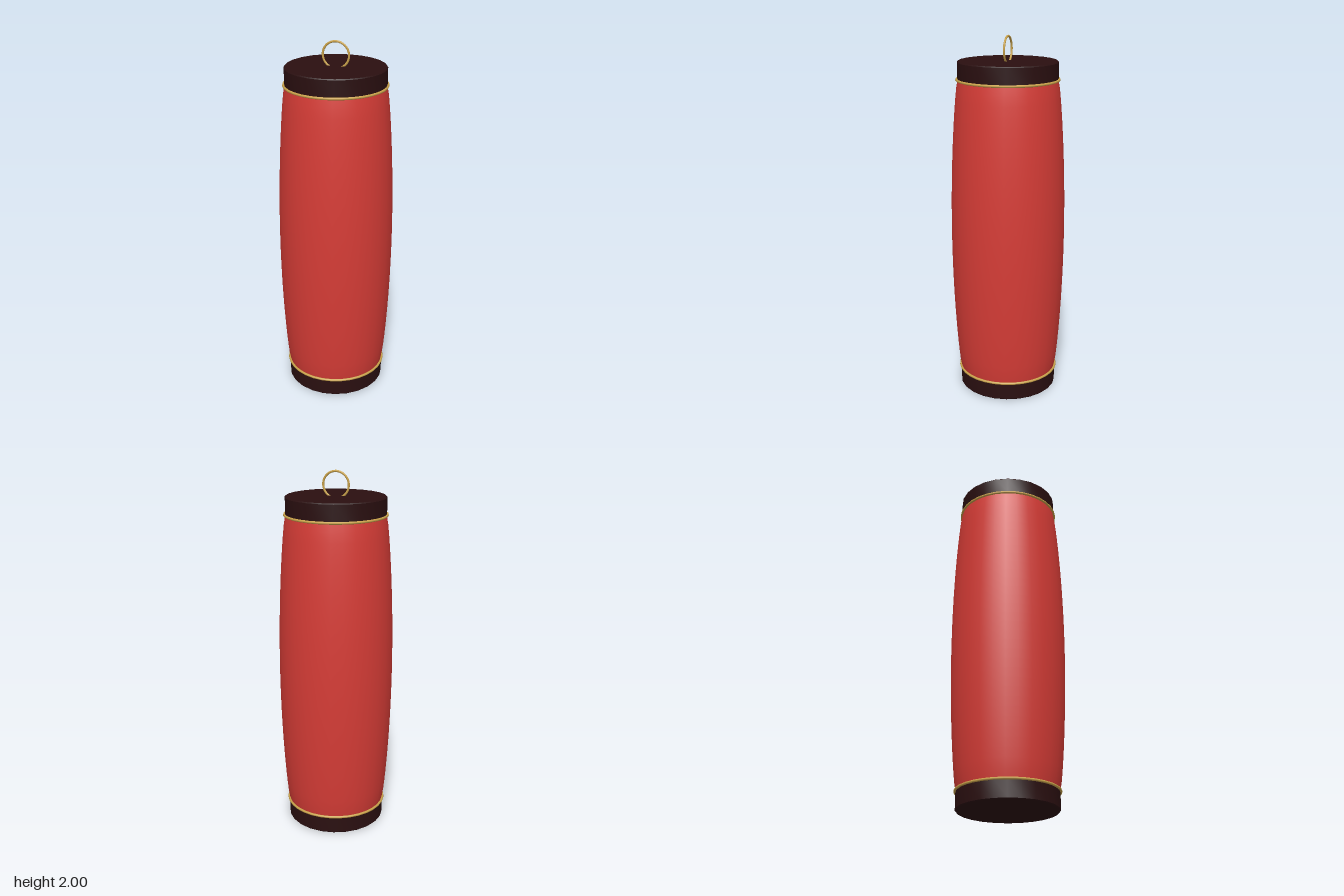
import * as THREE from 'three';
import { toCreasedNormals } from 'three/addons/utils/BufferGeometryUtils.js';

const CAP_H = 0.1, CAP_R = 0.272;
const BODY_BOTTOM = 0.1, BODY_TOP = 1.77;

function material(name, color) {
  const m = new THREE.MeshStandardMaterial({ color });
  m.name = name;
  return m;
}

export function createModel() {
  const red = material('lantern red', 0xd63c36);
  const dark = material('dark wood', 0x2a0f10);
  const gold = material('gold', 0xc9a24a);
  const group = new THREE.Group();
  group.name = 'paperLantern';

  const add = (name, geometry, mat, y) => {
    const mesh = new THREE.Mesh(geometry, mat);
    mesh.name = name;
    mesh.position.y = y;
    group.add(mesh);
    return mesh;
  };

  // Gently bulging paper body
  const profile = [];
  const rows = 32;
  for (let i = 0; i <= rows; i++) {
    const t = i / rows;
    const bulge = Math.pow(Math.max(0, Math.sin(Math.PI * t)), 0.7);
    profile.push(new THREE.Vector2(0.27 + 0.045 * bulge, BODY_BOTTOM + t * (BODY_TOP - BODY_BOTTOM)));
  }
  add('body', new THREE.LatheGeometry(profile, 28), red, 0);

  // End caps with a small bevel
  const b = 0.005;
  const capProfile = [
    [0, 0], [CAP_R - b, 0], [CAP_R, b], [CAP_R, CAP_H - b], [CAP_R - b, CAP_H], [0, CAP_H],
  ].map(([r, y]) => new THREE.Vector2(r, y));
  const cap = toCreasedNormals(new THREE.LatheGeometry(capProfile, 24), 0.5);
  add('bottomCap', cap, dark, 0.002);
  add('topCap', cap, dark, 1.765);

  // Gold trim where the caps meet the body
  const trim = new THREE.TorusGeometry(0.275, 0.007, 8, 32).rotateX(Math.PI / 2);
  add('bottomTrim', trim, gold, 0.103);
  add('topTrim', trim, gold, 1.767);

  // Hanging loop, sunk slightly into the top cap
  add('hangingLoop', new THREE.TorusGeometry(0.071, 0.006, 8, 32), gold, 1.923);

  return group;
}
